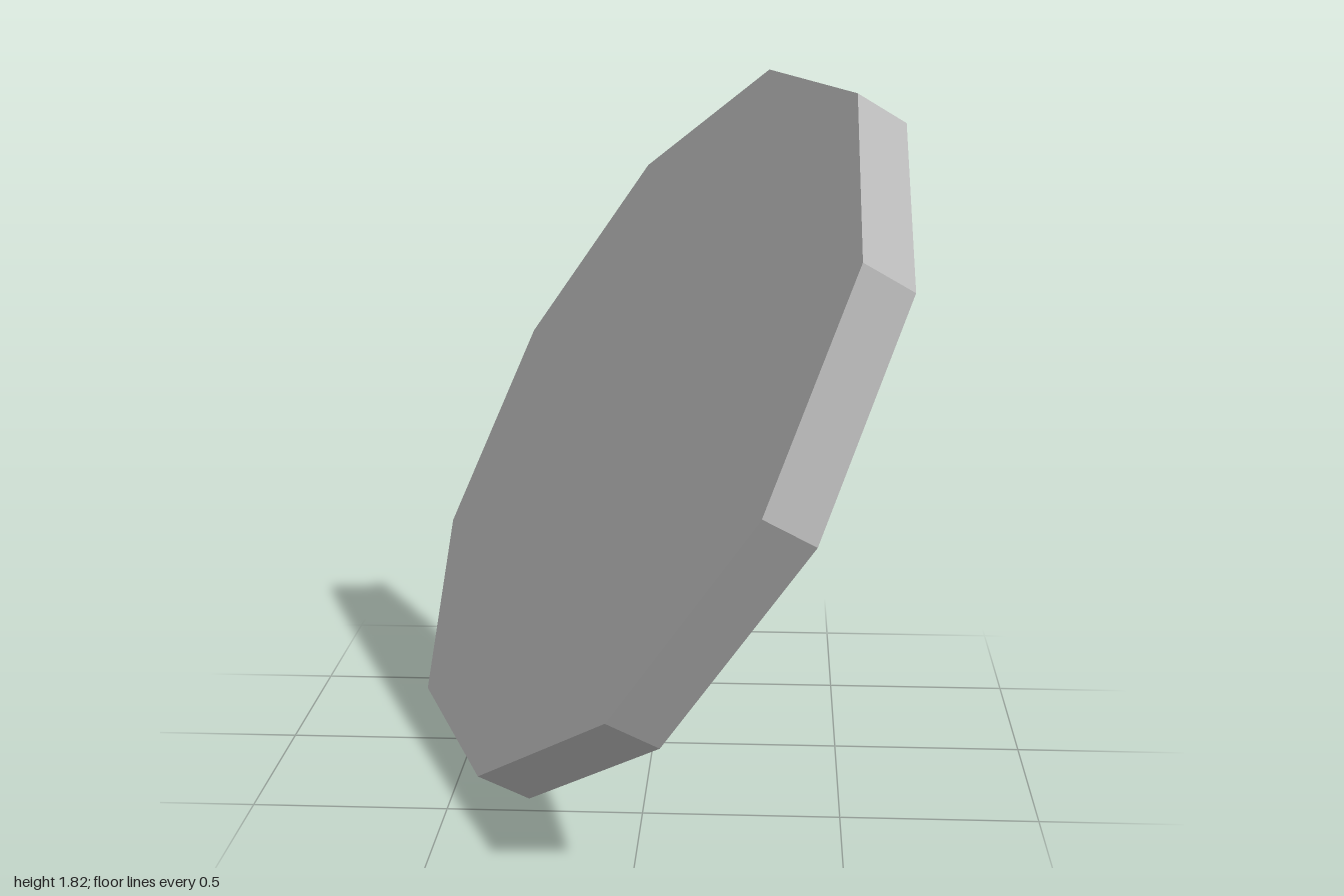
import * as THREE from 'three';

const SIDES = 10, RADIUS = 1.041, THICKNESS = 0.156, DOME = 0.08, RINGS = 4;

export function createModel() {
  const group = new THREE.Group();
  group.name = 'tiltedDisc';
  const grey = new THREE.MeshStandardMaterial({ color: 0xb8b8b8, flatShading: true });
  grey.name = 'grey';

  // Profile: flat base, straight rim, shallow dome
  const profile = [new THREE.Vector2(0, 0), new THREE.Vector2(RADIUS, 0)];
  for (let i = RINGS; i >= 0; i--) {
    const f = i / RINGS;
    profile.push(new THREE.Vector2(RADIUS * f, THICKNESS + DOME * (1 - f * f)));
  }
  const geometry = new THREE.LatheGeometry(profile, SIDES).toNonIndexed();
  geometry.computeVertexNormals();

  const disc = new THREE.Mesh(geometry, grey);
  disc.name = 'domedDisc';

  // Dome points along axis; one rim corner points along corner
  const axis = new THREE.Vector3(0.808, -0.4975, -0.316).normalize();
  const corner = new THREE.Vector3(0.36, -0.035, 0.975);
  corner.addScaledVector(axis, -corner.dot(axis)).normalize();
  const side = new THREE.Vector3().crossVectors(axis, corner);
  disc.setRotationFromMatrix(new THREE.Matrix4().makeBasis(side, axis, corner));
  disc.position.set(-0.063, 0.947, 0.025);

  group.add(disc);
  return group;
}
